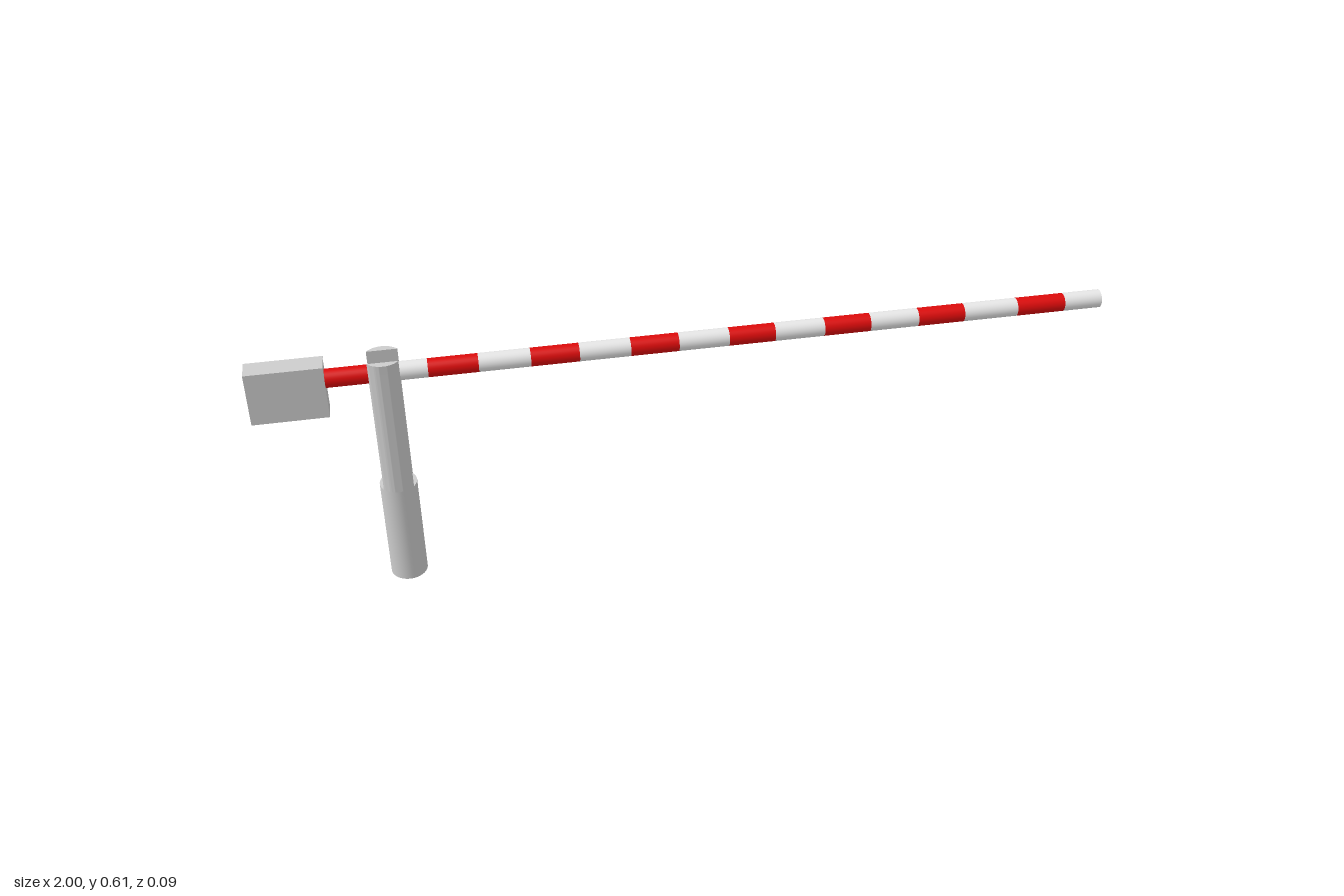
import * as THREE from 'three';
import { toCreasedNormals } from 'three/addons/utils/BufferGeometryUtils.js';

const material = (name, color) => {
  const m = new THREE.MeshStandardMaterial({ color });
  m.name = name;
  return m;
};

export function createModel() {
  const grey = material('grey metal', 0xcccccc);
  const white = material('white paint', 0xf0f0f0);
  const red = material('red paint', 0xdd0b0b);

  const model = new THREE.Group();
  model.name = 'barrierGate';
  const add = (parent, name, geometry, mat, x, y, z) => {
    const mesh = new THREE.Mesh(geometry, mat);
    mesh.name = name;
    mesh.position.set(x, y, z);
    parent.add(mesh);
    return mesh;
  };

  // Round post: solid base with two upright cheeks either side of the slot
  const postX = -0.698, radius = 0.0435, slot = 0.026, baseTop = 0.262, height = 0.608;
  const post = new THREE.Group();
  post.name = 'post';
  model.add(post);
  add(post, 'postBase', new THREE.CylinderGeometry(radius, radius, baseTop, 48), grey, postX, baseTop / 2, 0);

  const start = Math.asin(slot / radius);
  const segment = new THREE.Shape();
  segment.absarc(0, 0, radius, start, Math.PI - start, false);
  segment.closePath();
  const cheek = toCreasedNormals(
    new THREE.ExtrudeGeometry(segment, { depth: height - baseTop, bevelEnabled: false, curveSegments: 20 })
      .rotateX(-Math.PI / 2), 0.5);
  add(post, 'backCheek', cheek, grey, postX, baseTop, 0);
  add(post, 'frontCheek', cheek, grey, postX, baseTop, 0).rotation.y = Math.PI;

  // Counterweight block on the short end
  add(model, 'counterweight', new THREE.BoxGeometry(0.172, 0.13, 0.052), grey, -0.914, 0.544, 0);

  // Boom: alternating bands, starting with red; only the tip is capped
  const boom = new THREE.Group();
  boom.name = 'boom';
  model.add(boom);
  const edges = [-0.83, -0.717, -0.601, -0.488, -0.37, -0.259, -0.141, -0.029,
    0.089, 0.198, 0.316, 0.427, 0.544, 0.657, 0.789, 0.907, 1];
  for (let i = 0; i < edges.length - 1; i++) {
    const length = edges[i + 1] - edges[i];
    const last = i === edges.length - 2;
    const band = new THREE.CylinderGeometry(0.0215, 0.0215, length, 32, 1, !last).rotateZ(-Math.PI / 2);
    add(boom, i % 2 ? 'whiteBand' : 'redBand', band, i % 2 ? white : red, edges[i] + length / 2, 0.566, 0);
  }
  return model;
}
